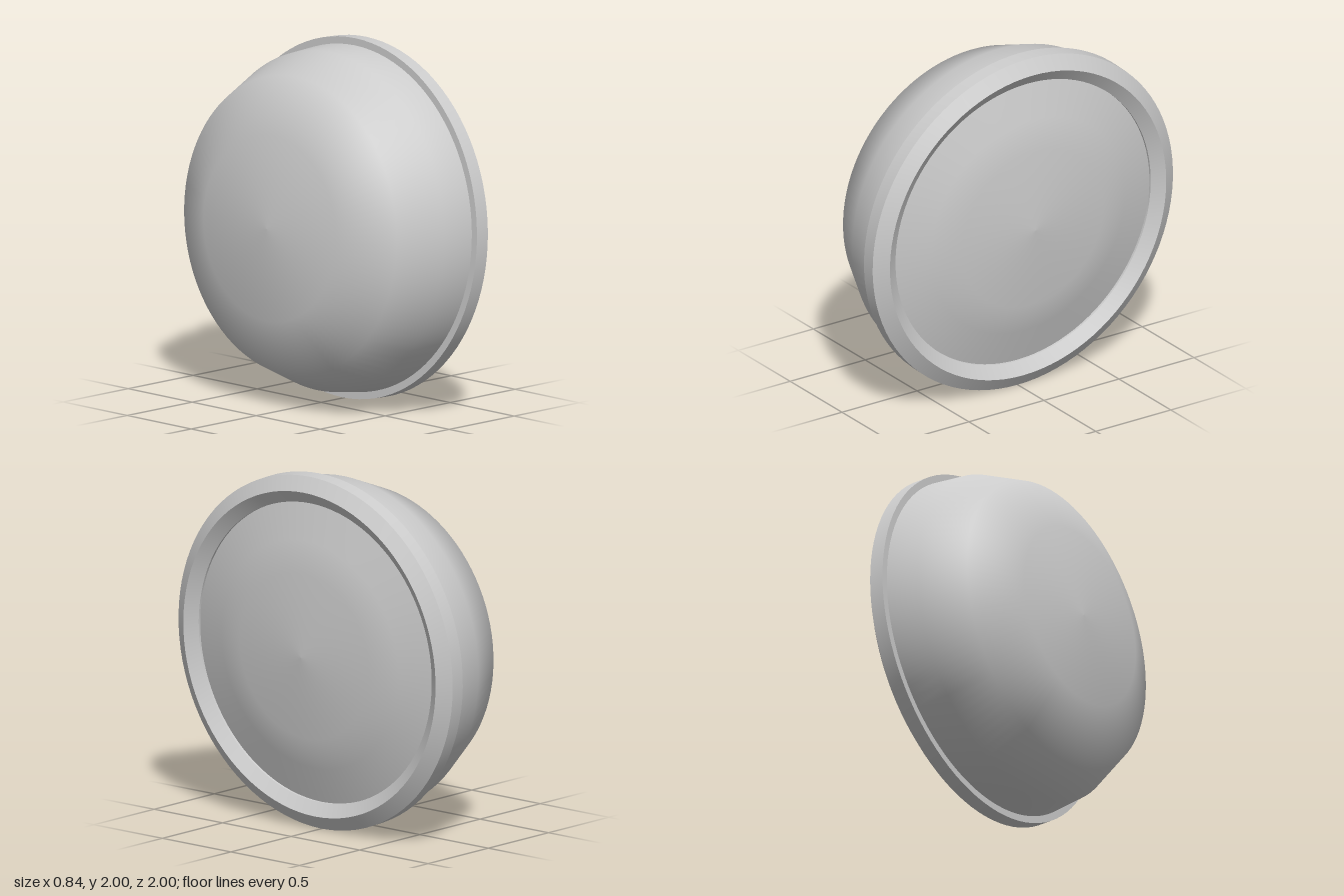
import * as THREE from 'three';
import { toCreasedNormals } from 'three/addons/utils/BufferGeometryUtils.js';

const SEGMENTS = 96;

// Turned part from [radius, distance along axis] pairs
function turned(name, profile, material, creased) {
  const points = profile.map(([r, u]) => new THREE.Vector2(r, u));
  let geometry = new THREE.LatheGeometry(points, SEGMENTS);
  if (creased) geometry = toCreasedNormals(geometry, 0.5);
  const mesh = new THREE.Mesh(geometry, material);
  mesh.name = name;
  return mesh;
}

export function createModel() {
  const grey = new THREE.MeshStandardMaterial({ color: 0xcccccc, side: THREE.DoubleSide });
  grey.name = 'light grey';

  const lamp = new THREE.Group();
  lamp.name = 'lamp';

  // Bowl-shaped housing, closed at the back
  lamp.add(turned('housing', [
    [0, -0.422], [0.516, -0.397], [0.829, -0.237], [0.941, 0.017], [0.96, 0.213],
  ], grey, false));

  // Bevelled ring around the lens
  lamp.add(turned('rim', [
    [0.9, 0.213], [1, 0.213], [1, 0.297], [0.92, 0.348], [0.85, 0.3], [0.85, 0.26],
  ], grey, true));

  // Shallow domed lens
  lamp.add(turned('lens', [
    [0.85, 0.287], [0.645, 0.345], [0.47, 0.392], [0, 0.421],
  ], grey, false));

  // Axis points to +x, tipped slightly downward
  lamp.rotation.z = -(Math.PI / 2 + 0.05);
  lamp.position.set(0, 1.0135, 0);

  const model = new THREE.Group();
  model.name = 'roundLamp';
  model.add(lamp);
  return model;
}
